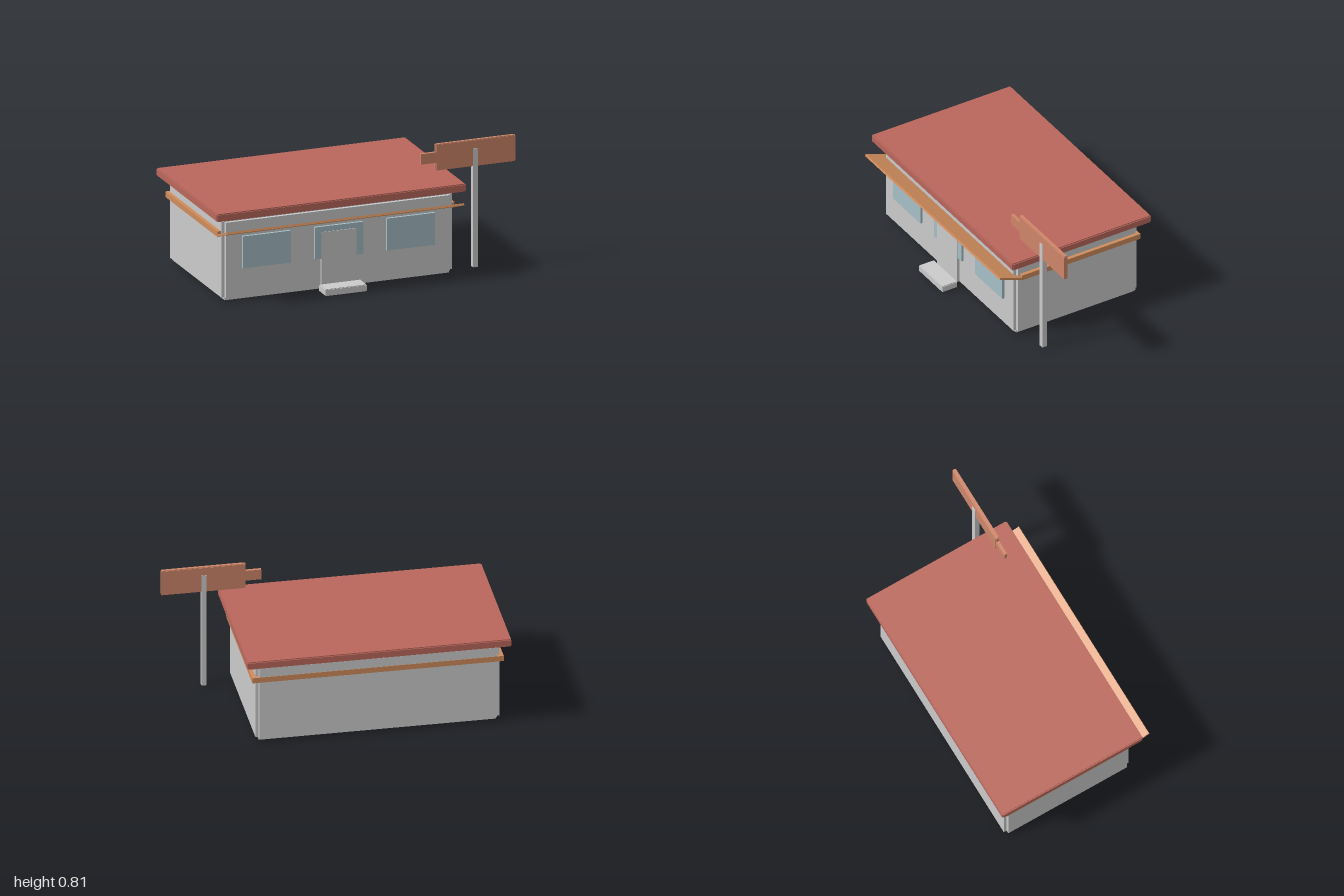
import * as THREE from 'three';
import { mergeGeometries } from 'three/addons/utils/BufferGeometryUtils.js';

const paint = (color) => new THREE.MeshStandardMaterial({ color });
const grey = paint(0xcccccc);
const red = paint(0xbb675c);
const orange = paint(0xd08c5c);
const signOrange = paint(0xcf866a);
const glass = paint(0xa8c0c8);

// Box geometry between two limits on each axis
function span([x0, x1], [y0, y1], [z0, z1]) {
  return new THREE.BoxGeometry(x1 - x0, y1 - y0, z1 - z0)
    .translate((x0 + x1) / 2, (y0 + y1) / 2, (z0 + z1) / 2);
}

// Box whose edges are stepped in by n: three crossing boxes, each full-length on one axis
function notched(x, y, z, n) {
  const inset = ([a, b]) => [a + n, b - n];
  return mergeGeometries([
    span(x, inset(y), inset(z)),
    span(inset(x), y, inset(z)),
    span(inset(x), inset(y), z),
  ]);
}

export function createModel() {
  const model = new THREE.Group();
  model.name = 'diner';

  const add = (name, geometry, material, parent = model) => {
    const mesh = new THREE.Mesh(geometry, material);
    mesh.name = name;
    parent.add(mesh);
    return mesh;
  };

  // Building shell
  add('walls', notched([-0.94, 0.562], [0.006, 0.525], [-0.478, 0.398], 0.02), grey);
  add('roof', notched([-1, 0.624], [0.533, 0.583], [-0.534, 0.454], 0.006), red);
  add('trimBand', span([-0.963, 0.585], [0.41, 0.445], [-0.48, 0.365]), orange);

  // Sloping awning: side profile (z, y) extruded along x
  const profile = new THREE.Shape([
    [0.357, 0.424], [0.362, 0.411], [0.522, 0.471], [0.517, 0.484],
  ].map(([z, y]) => new THREE.Vector2(-z, y)));
  const awning = new THREE.ExtrudeGeometry(profile, { depth: 1.548, bevelEnabled: false })
    .rotateY(Math.PI / 2)
    .translate(-0.963, 0, 0);
  add('awning', awning, orange);

  // Front windows
  const windows = new THREE.Group();
  windows.name = 'windows';
  model.add(windows);
  for (const x of [-0.659, -0.187, 0.281]) {
    add('window', span([x - 0.157, x + 0.157], [0.206, 0.41], [0.385, 0.414]), glass, windows);
  }

  // Entrance
  add('door', span([-0.304, -0.075], [0.028, 0.376], [0.385, 0.418]), grey);
  add('doorstep', notched([-0.325, -0.054], [0.006, 0.049], [0.427, 0.535], 0.004), grey);

  // Roadside sign: post, board and pointer tab
  const sign = new THREE.Group();
  sign.name = 'sign';
  model.add(sign);
  add('signPost', span([0.722, 0.754], [0, 0.756], [0.291, 0.323]), grey, sign);
  add('signBoard', notched([0.48, 1], [0.642, 0.81], [0.295, 0.32], 0.004), signOrange, sign);
  add('signTab', span([0.384, 0.485], [0.692, 0.759], [0.298, 0.317]), signOrange, sign);

  return model;
}
